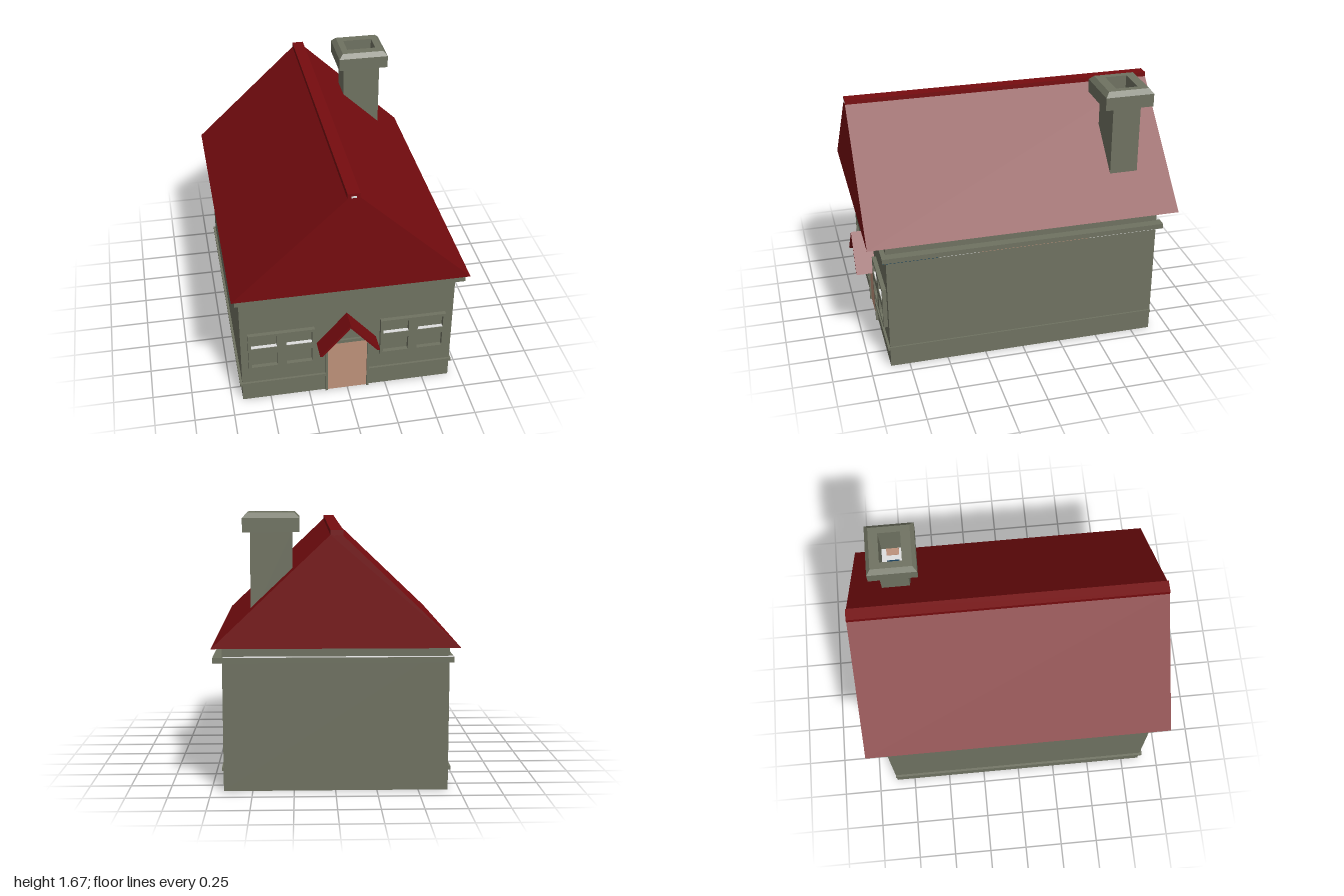
import * as THREE from 'three';

const mat = (name, color) => {
  const m = new THREE.MeshStandardMaterial({ color });
  m.name = name;
  return m;
};

export function createModel() {
  const house = new THREE.Group();
  house.name = 'house';
  const stone = mat('stone grey', 0x6f7261);
  const red = mat('roof red', 0x760c0f);
  const wood = mat('door tan', 0xbd917a);
  const blue = mat('dark blue', 0x0e3a58);
  const white = mat('pale grey', 0xdedede);

  const add = (name, geometry, material, parent = house) => {
    const mesh = new THREE.Mesh(geometry, material);
    mesh.name = name;
    parent.add(mesh);
    return mesh;
  };
  // Box given by its limits on each axis
  const box = (name, material, [x0, x1], [y0, y1], [z0, z1], parent) => {
    const g = new THREE.BoxGeometry(x1 - x0, y1 - y0, z1 - z0);
    g.translate((x0 + x1) / 2, (y0 + y1) / 2, (z0 + z1) / 2);
    return add(name, g, material, parent);
  };
  const outline = (pts) => new THREE.Shape(pts.map(([x, y]) => new THREE.Vector2(x, y)));
  const rect = (x0, x1, y0, y1) => outline([[x0, y0], [x1, y0], [x1, y1], [x0, y1]]);
  // Profile in x and y, pushed from z0 to z1
  const prism = (shape, z0, z1) => {
    const g = new THREE.ExtrudeGeometry(shape, { depth: z1 - z0, bevelEnabled: false });
    return g.translate(0, 0, z0);
  };

  // Walls
  box('walls', stone, [-0.68, 0.675], [0, 0.892], [-0.875, 0.87]);

  // Cornice under the eaves, with its painted underside
  box('cornice', stone, [-0.705, 0.73], [0.788, 0.82], [-0.9, 0.9]);
  const strips = [[blue, 0.55, 0.895], [white, 0.3, 0.55], [wood, -0.4, 0.3], [white, -0.895, -0.4]];
  for (const [m, z0, z1] of strips) {
    box('corniceUnderside', m, [0.676, 0.728], [0.785, 0.788], [z0, z1]);
  }
  box('corniceBackTop', white, [-0.7, 0.67], [0.82, 0.823], [-0.899, -0.875]);

  // Low plinth moulding on the front and both sides
  const plinthY = [0.125, 0.145];
  box('plinthFrontRight', stone, [-0.695, -0.145], plinthY, [0.86, 0.885]);
  box('plinthFrontLeft', stone, [0.14, 0.685], plinthY, [0.86, 0.885]);
  box('plinthRight', stone, [-0.695, -0.67], plinthY, [-0.875, 0.885]);
  box('plinthLeft', stone, [0.665, 0.685], plinthY, [-0.875, 0.885]);

  // Main roof and ridge cap
  const roofShape = outline([[-0.73, 0.89], [0.73, 0.89], [0.035, 1.55], [-0.035, 1.55]]);
  add('roof', prism(roofShape, -1, 0.985), red);
  box('ridgeCap', red, [-0.04, 0.035], [1.545, 1.578], [-1, 0.985]);
  box('ridgeEnd', white, [-0.018, 0.014], [1.551, 1.562], [0.985, 0.988]);

  // Door with its frame
  box('door', wood, [-0.13, 0.125], [0, 0.39], [0.865, 0.875]);
  const frame = outline([[-0.145, 0], [-0.13, 0], [-0.13, 0.39], [0.125, 0.39],
    [0.125, 0], [0.14, 0], [0.14, 0.412], [-0.145, 0.412]]);
  add('doorFrame', prism(frame, 0.865, 0.885), stone);

  // Pitched canopy above the door
  const canopy = outline([[-0.2, 0.4], [-0.182, 0.4], [-0.01, 0.602], [0.162, 0.4],
    [0.18, 0.4], [-0.01, 0.622]]);
  add('doorCanopy', prism(canopy, 0.865, 1), red);

  // Two windows, each with four recessed panes and pale upper sills
  for (const [name, x] of [['rightWindow', -0.635], ['leftWindow', 0.205]]) {
    const window = new THREE.Group();
    window.name = name;
    house.add(window);
    const shape = rect(x, x + 0.42, 0.265, 0.54);
    for (const px of [x + 0.018, x + 0.24]) {
      shape.holes.push(rect(px, px + 0.163, 0.435, 0.52), rect(px, px + 0.163, 0.285, 0.39));
      box('sill', white, [px, px + 0.163], [0.434, 0.438], [0.868, 0.893], window);
    }
    add('windowFrame', prism(shape, 0.865, 0.897), stone, window);
  }

  // Chimney: open shaft and a chamfered cap built from square rings
  const chimney = new THREE.Group();
  chimney.name = 'chimney';
  house.add(chimney);
  const rings = [ // half width, half depth, height
    [0.125, 0.09, 1.03], [0.125, 0.09, 1.557], [0.168, 0.155, 1.557], [0.168, 0.155, 1.64],
    [0.14, 0.13, 1.67], [0.098, 0.07, 1.67], [0.098, 0.07, 1.44],
  ];
  const pos = [];
  const corner = ([w, d, y], k) => {
    const sx = [1, 1, -1, -1][k % 4], sz = [1, -1, -1, 1][k % 4];
    return [0.38 + sx * w, y, -0.7 + sz * d];
  };
  for (let i = 0; i < rings.length - 1; i++) {
    for (let k = 0; k < 4; k++) {
      const a = corner(rings[i], k), b = corner(rings[i], k + 1);
      const c = corner(rings[i + 1], k + 1), d = corner(rings[i + 1], k);
      pos.push(...a, ...b, ...c, ...a, ...c, ...d);
    }
  }
  const g = new THREE.BufferGeometry();
  g.setAttribute('position', new THREE.Float32BufferAttribute(pos, 3));
  g.computeVertexNormals();
  add('chimneyStack', g, stone, chimney);

  // Patterned floor of the flue
  box('flueFloor', white, [0.282, 0.478], [1.43, 1.44], [-0.77, -0.63], chimney);
  box('fluePatchBlue', blue, [0.32, 0.395], [1.44, 1.444], [-0.74, -0.66], chimney);
  box('fluePatchTan', wood, [0.43, 0.477], [1.44, 1.444], [-0.74, -0.66], chimney);

  return house;
}
